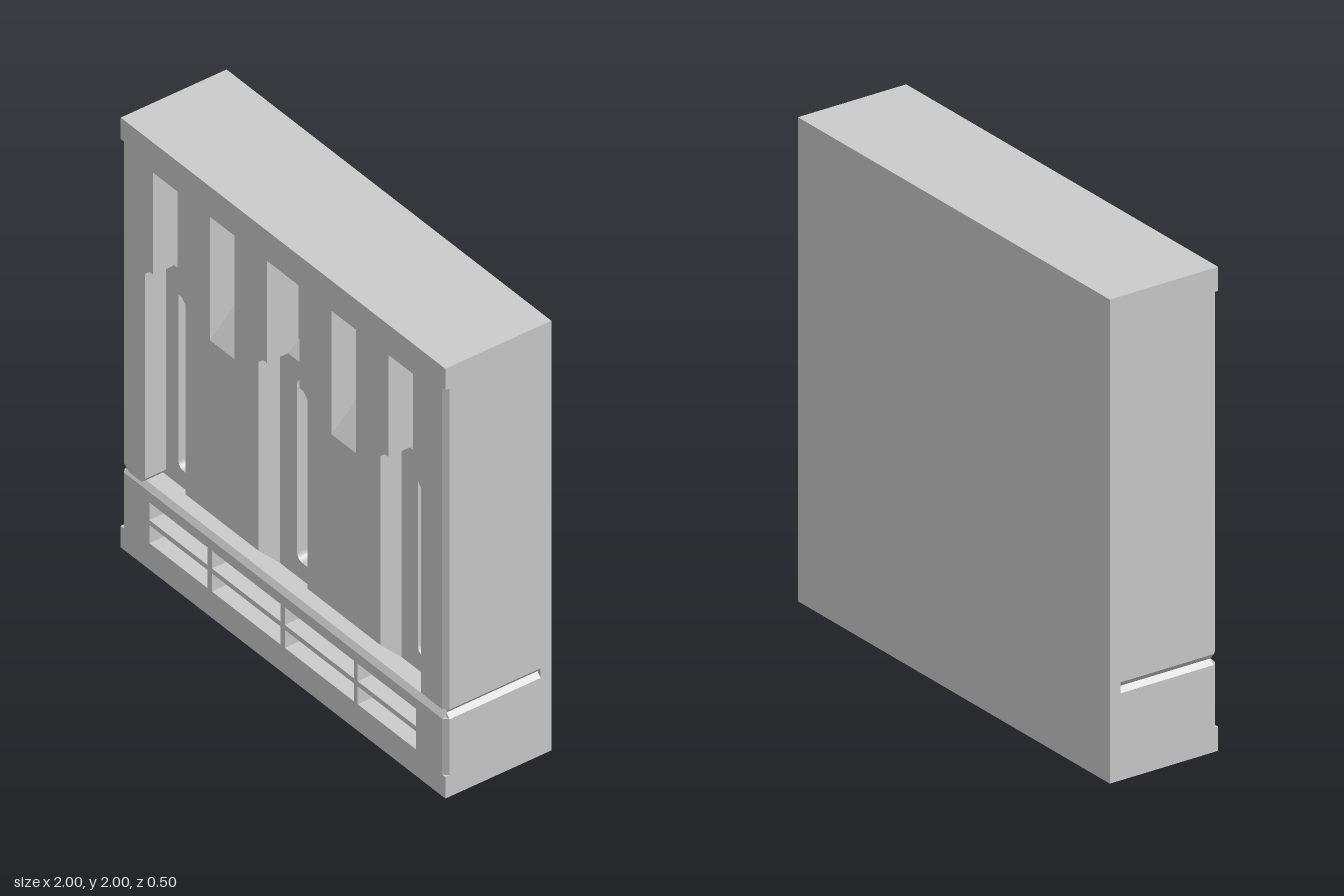
import * as THREE from 'three';

export function createModel() {
  const group = new THREE.Group();
  const material = new THREE.MeshStandardMaterial({ color: 0xcccccc, flatShading: true });

  const add = (name, geometry) => {
    const mesh = new THREE.Mesh(geometry, material);
    mesh.name = name;
    group.add(mesh);
  };
  const polygon = pts => new THREE.Shape(pts.map(p => new THREE.Vector2(p[0], p[1])));
  const rect = ([x0, x1, y0, y1]) => polygon([[x0, y0], [x1, y0], [x1, y1], [x0, y1]]);

  // Rectangle with rounded corners
  const roundRect = (x0, x1, y0, y1, r) => {
    const s = new THREE.Shape();
    s.absarc(x1 - r, y0 + r, r, -Math.PI / 2, 0);
    s.absarc(x1 - r, y1 - r, r, 0, Math.PI / 2);
    s.absarc(x0 + r, y1 - r, r, Math.PI / 2, Math.PI);
    s.absarc(x0 + r, y0 + r, r, Math.PI, Math.PI * 1.5);
    return s;
  };

  // Slab with an xy outline between two depths
  const layer = (name, pts, z0, z1, holes = []) => {
    const shape = polygon(pts);
    shape.holes.push(...holes);
    const g = new THREE.ExtrudeGeometry(shape, { depth: z1 - z0, bevelEnabled: false, curveSegments: 5 });
    add(name, g.translate(0, 0, z0));
  };

  // Prism with a [z, y] section running along x
  const prismX = (name, section, x0, x1) => {
    const g = new THREE.ExtrudeGeometry(polygon(section), { depth: x1 - x0, bevelEnabled: false });
    add(name, g.rotateY(-Math.PI / 2).translate(x1, 0, 0));
  };

  // Prism with an [x, z] section running along y
  const prismY = (name, section, y0, y1) => {
    const g = new THREE.ExtrudeGeometry(polygon(section.map(([x, z]) => [x, -z])), { depth: y1 - y0, bevelEnabled: false });
    add(name, g.rotateX(-Math.PI / 2).translate(0, y0, 0));
  };

  const BACK = -0.25, GROOVE = -0.2, FLOOR = 0.1, RECESS = 0.15, EDGE = 0.23, FRONT = 0.25;

  // Recessed columns [left, right, window left, window right]
  const columns = [
    [-0.85, -0.6, -0.8, -0.65],
    [-0.15, 0.15, -0.1, 0.1],
    [0.6, 0.85, 0.65, 0.8],
  ];
  const freeWindows = [[-0.45, -0.3], [0.3, 0.45]];
  const panels = [[-0.6, -0.15], [0.15, 0.6]];
  const slots = [[-0.775, -0.7], [-0.043, 0.04], [0.7, 0.775]];

  // Grille openings in the base
  const grille = [];
  for (const [x0, x1] of [[-0.823, -0.465], [-0.438, -0.016], [0.011, 0.438], [0.46, 0.818]])
    for (const [y0, y1] of [[0.123, 0.207], [0.23, 0.312]]) grille.push(rect([x0, x1, y0, y1]));

  // Rear body, plain at the back and with the V groove on its sides
  const grooved = [
    [-1, 0], [1, 0], [1, 0.36], [0.98, 0.38], [1, 0.405], [1, 2],
    [-1, 2], [-1, 0.405], [-0.98, 0.38], [-1, 0.36],
  ];
  layer('backPlate', [[-1, 0], [1, 0], [1, 2], [-1, 2]], BACK, GROOVE);
  layer('body', grooved, GROOVE, FLOOR);
  layer('pocketLayer', grooved, FLOOR, RECESS, [
    ...grille,
    ...columns.map(c => rect([c[2], c[3], 1.385, 1.86])),
    ...freeWindows.map(w => rect([...w, 1.285, 1.86])),
    ...slots.map(s => roundRect(...s, 0.46, 1.31, 0.03)),
  ]);

  // Base front with bevelled top edge
  layer('base', [[-1, 0], [1, 0], [1, 0.36], [0.98, 0.38], [-0.98, 0.38], [-1, 0.36]], RECESS, EDGE, grille);
  layer('baseFront', [[-1, 0], [1, 0], [1, 0.1], [0.98, 0.1], [0.98, 0.36], [-0.98, 0.36], [-0.98, 0.1], [-1, 0.1]],
    EDGE, FRONT, grille);
  prismX('baseBevel', [[EDGE, 0.36], [FRONT, 0.36], [EDGE, 0.38]], -0.98, 0.98);

  // Lower boundary of the upper front, stepping around each column and window
  const columnPath = columns.map(([a, b, w0, w1], i) => [
    [a, i === 0 ? 0.405 : 0.48], [a, 1.36], [a + 0.025, 1.385], [w0, 1.385], [w0, 1.86],
    [w1, 1.86], [w1, 1.385], [b - 0.025, 1.385], [b, 1.36], [b, i === 2 ? 0.405 : 0.48],
  ]).flat();
  const windowHoles = freeWindows.map(w => rect([...w, 1.285, 1.86]));
  layer('upperFront', [
    [0.98, 0.38], [1, 0.405], [1, 2], [-1, 2], [-1, 0.405], [-0.98, 0.38],
    [-0.87, 0.38], ...columnPath, [0.87, 0.38],
  ], RECESS, EDGE, windowHoles);
  layer('upperFace', [
    [0.98, 0.405], [0.98, 1.9], [1, 1.9], [1, 2], [-1, 2], [-1, 1.9], [-0.98, 1.9], [-0.98, 0.405],
    [-0.95, 0.38], [-0.87, 0.38], ...columnPath,
  ], EDGE, FRONT, windowHoles);
  prismX('rightBlockBevel', [[EDGE, 0.38], [FRONT, 0.405], [EDGE, 0.405]], 0.87, 0.98);

  // Sloped undersides of the raised panels
  for (const [x0, x1] of panels)
    prismX('panelUnderside', [[RECESS, 0.38], [FRONT, 0.48], [RECESS, 0.48]], x0, x1);

  // Sloped window heads and sills
  for (const [x0, x1] of [...freeWindows, ...columns.map(c => [c[2], c[3]])])
    prismX('windowHead', [[FLOOR, 1.715], [FRONT, 1.86], [FLOOR, 1.86]], x0, x1);
  for (const [x0, x1] of freeWindows)
    prismX('windowSill', [[FLOOR, 1.285], [FRONT, 1.285], [FLOOR, 1.43]], x0, x1);
  for (const c of columns)
    prismX('columnSill', [[FLOOR, 1.385], [RECESS, 1.385], [FLOOR, 1.43]], c[2], c[3]);

  // Bevelled vertical front edges
  for (const s of [-1, 1])
    for (const [y0, y1] of [[0.1, 0.36], [0.405, 1.9]])
      prismY('edgeBevel', [[s * 0.98, EDGE], [s, EDGE], [s * 0.98, FRONT]], y0, y1);

  return group;
}
